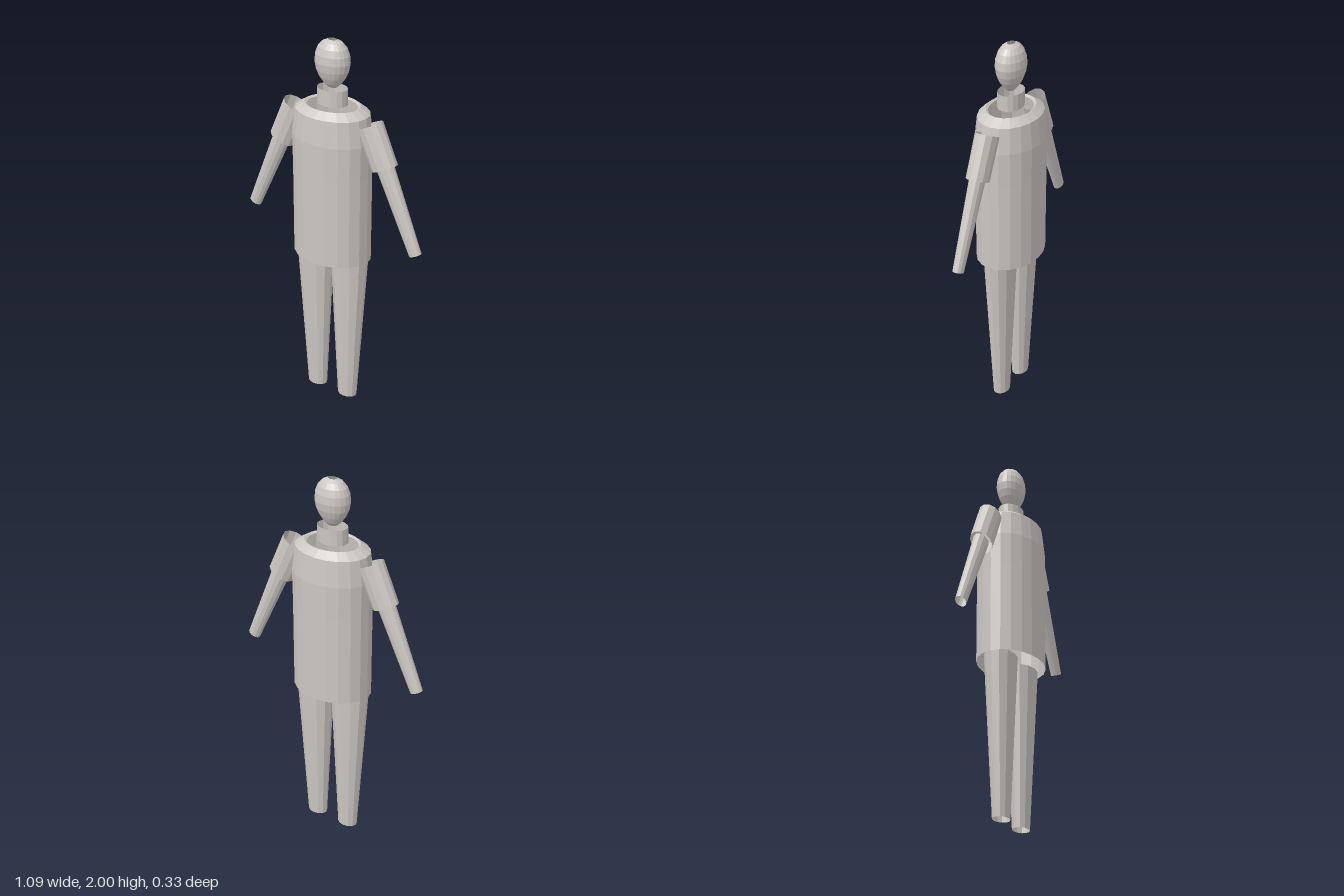
import * as THREE from 'three';

const DEPTH = 0.75; // every cross-section is an ellipse flattened front to back

export function createModel() {
  const model = new THREE.Group();
  model.name = 'mannequin';
  const clay = new THREE.MeshStandardMaterial({
    color: 0xcbc7c2, flatShading: true, side: THREE.DoubleSide,
  });
  clay.name = 'warm grey';

  // Open elliptical shell from [radius, height] pairs
  function shell(name, profile, sides) {
    const points = profile.map(([r, y]) => new THREE.Vector2(r, y));
    const geometry = new THREE.LatheGeometry(points, sides);
    geometry.scale(1, 1, DEPTH);
    const mesh = new THREE.Mesh(geometry, clay);
    mesh.name = name;
    model.add(mesh);
    return mesh;
  }

  // Open tapered tube between two points [x, y] in the z = 0 plane
  function limb(name, bottom, top, rBottom, rTop, sides) {
    const dx = top[0] - bottom[0], dy = top[1] - bottom[1];
    const mesh = shell(name, [[rBottom, 0], [rTop, Math.hypot(dx, dy)]], sides);
    mesh.position.set(bottom[0], bottom[1], 0);
    mesh.rotation.z = -Math.atan2(dx, dy);
  }

  // Egg-shaped head, open at both poles
  shell('head', [
    [0.025, 1.756], [0.05, 1.778], [0.073, 1.81], [0.089, 1.845], [0.097, 1.885],
    [0.093, 1.925], [0.079, 1.96], [0.055, 1.986], [0.025, 2.0],
  ], 20);

  shell('neck', [[0.083, 1.67], [0.083, 1.752]], 16);

  // Torso with sloped shoulders and an open collar
  shell('torso', [
    [0.218, 0.84], [0.219, 1.32], [0.222, 1.5], [0.204, 1.635],
    [0.152, 1.668], [0.138, 1.66],
  ], 20);

  for (const [side, s] of [['left', 1], ['right', -1]]) {
    // Legs taper straight down to open ankles
    const leg = shell(side + 'Leg', [[0.055, 0], [0.106, 0.85]], 12);
    // Shear the leg so both ends stay level
    const p = leg.geometry.attributes.position;
    for (let i = 0; i < p.count; i++) {
      p.setX(i, p.getX(i) + s * (0.1 + 0.009 * p.getY(i) / 0.85));
    }
    leg.geometry.computeVertexNormals();

    // Arms hang outward: wide sleeve, slimmer forearm
    limb(side + 'UpperArm', [s * 0.32, 1.403], [s * 0.226, 1.609], 0.073, 0.075, 12);
    limb(side + 'Forearm', [s * 0.513, 0.983], [s * 0.322, 1.41], 0.035, 0.05, 12);
  }
  return model;
}
